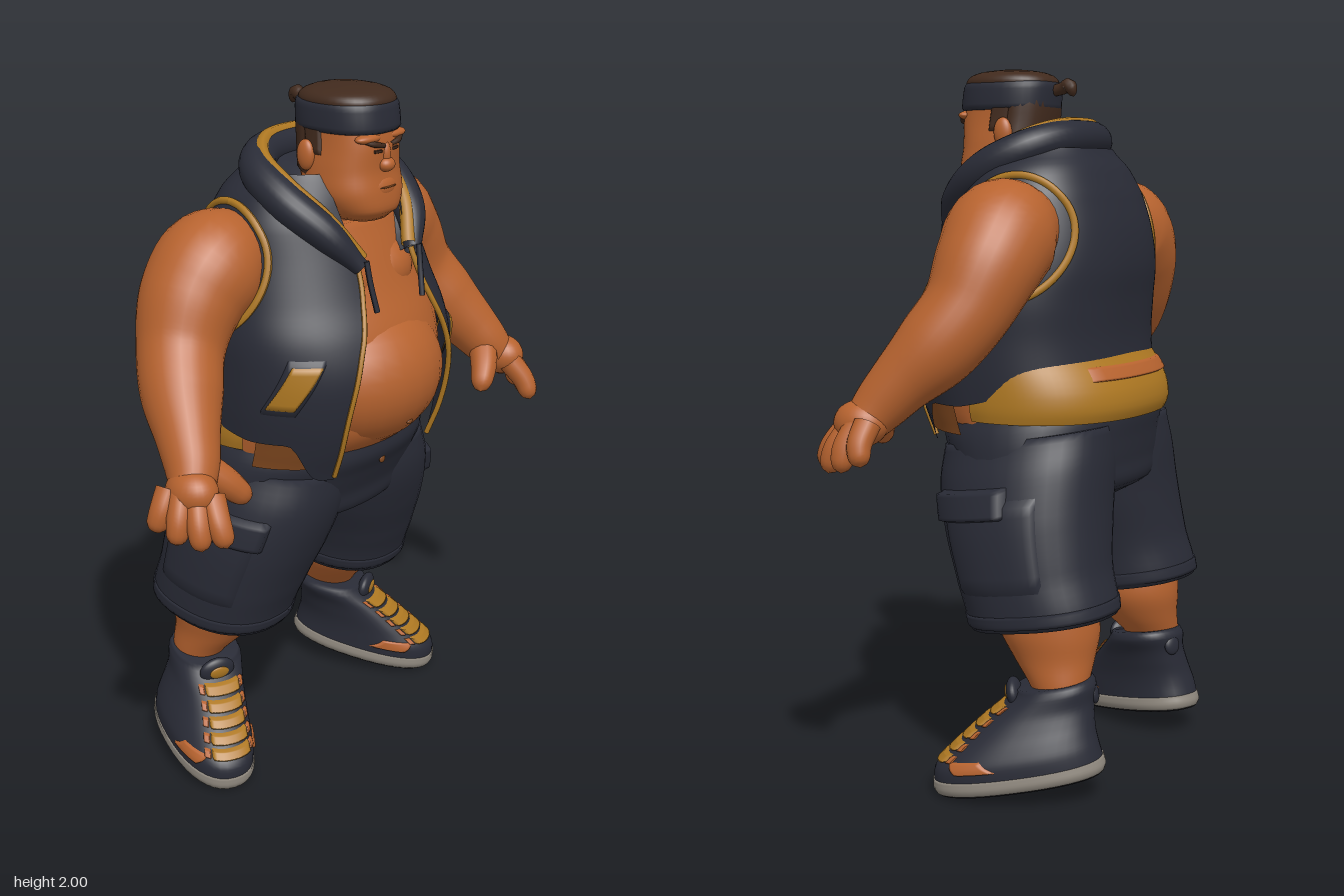
import * as THREE from 'three';

const V = (x, y, z) => new THREE.Vector3(x, y, z);
const lerp = THREE.MathUtils.lerp, step = THREE.MathUtils.smoothstep;
const mat = (name, color, side = THREE.FrontSide) => new THREE.MeshStandardMaterial({ name, color, side });

// Smooth surface from f(u, v); du x dv points outward
function grid(f, nu, nv, wrap = false) {
  const pos = [], idx = [], w = wrap ? nu : nu + 1;
  for (let j = 0; j <= nv; j++) for (let i = 0; i < w; i++) pos.push(...f(i / nu, j / nv, i, j).toArray());
  for (let j = 0; j < nv; j++) for (let i = 0; i < nu; i++) {
    const a = j * w + i, b = j * w + (i + 1) % w;
    idx.push(a, b, b + w, a, b + w, a + w);
  }
  const g = new THREE.BufferGeometry();
  g.setAttribute('position', new THREE.Float32BufferAttribute(pos, 3));
  g.setIndex(idx);
  g.computeVertexNormals();
  return g;
}

// Interpolates rows that start with a height
function rowAt(rows, y) {
  let i = 0;
  while (i < rows.length - 2 && y > rows[i + 1][0]) i++;
  const k = THREE.MathUtils.clamp((y - rows[i][0]) / (rows[i + 1][0] - rows[i][0]), 0, 1);
  const p = [i - 1, i, i + 1, i + 2].map(n => rows[THREE.MathUtils.clamp(n, 0, rows.length - 1)]);
  return rows[0].map((_, c) => {
    const [a, b, d, e] = p.map(r => r[c]);
    return b + 0.5 * k * (d - a + k * (2 * a - 5 * b + 4 * d - e + k * (3 * (b - d) + e - a)));
  });
}

// Stacked rings [y, cx, cz, rx, rz]; angle 0 is the front, PI/2 is +x; squareness for front and back
const rings = (rows, nFront = 2, nBack = nFront, tilt = 0) => (a, y, off = 0) => {
  const [, cx, cz, rx, rz] = rowAt(rows, y), s = Math.sin(a), c = Math.cos(a), e = 2 / (c > 0 ? nFront : nBack);
  const z = (rz + off) * Math.sign(c) * Math.abs(c) ** e;
  return V(cx + (rx + off) * Math.sign(s) * Math.abs(s) ** e, y + tilt * z, cz + z);
};
// Closed loft with capped ends
const loft = (S, y0, y1, nv = 24, off = 0) => grid((u, v, i, j) => {
  const y = lerp(y0, y1, THREE.MathUtils.clamp((j - 1) / nv, 0, 1));
  if (j === 0 || j === nv + 2) return S(0, y, off).add(S(Math.PI, y, off)).multiplyScalar(0.5);
  return S(u * Math.PI * 2, y, off);
}, 40, nv + 2, true);
// Thin raised patch lying on a ring surface, optionally slanted
const pad = (S, a0, a1, y0, y1, off, slant = 0) => grid((u, v, i, j) =>
  S(lerp(a0, a1, u) + slant * (v - 0.5), lerp(y0, y1, v), i === 0 || i === 14 || j === 0 || j === 10 ? -0.004 : off), 14, 10);

// Tapered tube through [x, y, z, r]
function limb(pts, nv = 24, round = false, nu = 20) {
  const c = new THREE.CatmullRomCurve3(pts.map(p => V(p[0], p[1], p[2])));
  const f = c.computeFrenetFrames(nv), rad = pts.map((p, i) => [i, p[3]]);
  return grid((u, v, i, j) => {
    let r = rowAt(rad, c.getUtoTmapping(v) * (pts.length - 1))[1];
    if (round && v > 0.75) r *= Math.sqrt(Math.max(0, 1 - ((v - 0.75) / 0.25) ** 2));
    const a = u * Math.PI * 2;
    return c.getPointAt(v).addScaledVector(f.normals[j], r * Math.cos(a)).addScaledVector(f.binormals[j], r * Math.sin(a));
  }, nu, nv, true);
}
const ball = (x, y, z, rx, ry, rz) => new THREE.SphereGeometry(1, 28, 20).scale(rx, ry, rz).translate(x, y, z);
const tube = (pts, r, closed = false, n = 60) => new THREE.TubeGeometry(new THREE.CatmullRomCurve3(pts, closed), n, r, 8, closed);
function mirrored(geo) {
  const g = geo.clone().scale(-1, 1, 1), a = g.index.array;
  for (let i = 0; i < a.length; i += 3) [a[i], a[i + 1]] = [a[i + 1], a[i]];
  g.computeVertexNormals();
  return g;
}

export function createModel() {
  const root = new THREE.Group();
  root.name = 'stockyMan';
  const skin = mat('skin', 0xb7632f), cloth = mat('charcoalCloth', 0x292b36, THREE.DoubleSide);
  const gold = mat('goldLining', 0xae7822, THREE.DoubleSide), hair = mat('brownHair', 0x412a1d);
  const rubber = mat('greyRubber', 0x8f887e), tread = mat('blackTread', 0x17171c), brown = mat('darkBrown', 0x80481f);
  const add = (name, g, m) => {
    const mesh = new THREE.Mesh(g, m);
    mesh.name = name;
    root.add(mesh);
  };
  const pair = (name, g, m) => {
    add(name + 'Left', g, m);
    add(name + 'Right', mirrored(g), m);
  };

  // Torso: [y, half width, front z, back z]
  const girth = [[0.93, 0.37, 0.28, -0.3], [1.05, 0.375, 0.33, -0.3], [1.15, 0.383, 0.355, -0.288], [1.25, 0.385, 0.36, -0.28],
    [1.35, 0.382, 0.335, -0.285], [1.45, 0.36, 0.29, -0.295], [1.55, 0.335, 0.25, -0.285], [1.65, 0.31, 0.21, -0.255],
    [1.72, 0.27, 0.18, -0.22], [1.78, 0.2, 0.15, -0.18]];
  const toRings = list => list.map(([y, w, f, b]) => [y, 0, (f + b) / 2, w, (f - b) / 2]);
  const vestRows = toRings(girth), vestS = rings(vestRows, 2, 2.45);
  const body = girth.map(([y, w, f, b]) => [y, w - 0.02, f - (y < 1 ? 0.11 : 0.04), b + 0.02]);
  add('torso', loft(rings(toRings(body), 2, 2.45), 0.95, 1.64, 36), skin);
  add('belly', ball(0, 1.2, 0.12, 0.28, 0.222, 0.25), skin);
  add('navel', ball(0, 1.085, 0.333, 0.012, 0.008, 0.006), brown);
  pair('chest', ball(0.085, 1.48, 0.1, 0.13, 0.11, 0.135), skin);
  add('neck', loft(rings([[1.5, 0, 0.03, 0.14, 0.14], [1.62, 0, 0.06, 0.1, 0.1], [1.76, 0, 0.08, 0.09, 0.08]]), 1.5, 1.76, 8), skin);

  // Open vest: front corners hang low, hem rises towards the back
  const gap = [[0.93, 0.21], [1.1, 0.222], [1.2, 0.215], [1.3, 0.19], [1.4, 0.15], [1.5, 0.122], [1.6, 0.12], [1.78, 0.13]];
  const edgeAngle = y => Math.asin(Math.min(0.95, rowAt(gap, y)[1] / rowAt(vestRows, y)[3]));
  add('vest', grid((u, v) => {
    const s = (1 - Math.cos(0.5 + (Math.PI * 2 - 1) * u)) / 2;
    const y = lerp(0.95 + 0.12 * step(s, 0.09, 0.22) + 0.13 * step(s, 0.35, 1), 1.775, v), a = edgeAngle(y);
    return vestS(lerp(a, Math.PI * 2 - a, u), y);
  }, 84, 40), cloth);
  const edge = [];
  for (let y = 0.96; y < 1.58; y += 0.04) edge.push(vestS(edgeAngle(y), y));
  pair('vestEdgeTrim', tube(edge, 0.008), gold);
  pair('vestPocketWelt', pad(vestS, 0.89, 1.22, 1.155, 1.325, 0.007, -0.3), cloth);
  pair('vestPocketLining', pad(vestS, 0.91, 1.18, 1.17, 1.312, 0.013, -0.28), gold);
  const hole = [];
  for (let i = 0; i < 24; i++) {
    const a = i / 24 * Math.PI * 2, y = 1.53 + 0.17 * Math.cos(a), z = -0.07 + 0.158 * Math.sin(a);
    const [, , cz, rx, rz] = rowAt(vestRows, y), n = z > cz ? 2 : 2.45;
    hole.push(V(rx * (1 - Math.abs((z - cz) / rz) ** n) ** (1 / n), y, z));
  }
  pair('armholeTrim', tube(hole, 0.011, true, 72), gold);

  // Undershirt showing below the vest, with a bare strip at the back
  const shirtS = rings([[1.03, 0, -0.045, 0.372, 0.285], [1.06, 0, -0.045, 0.378, 0.298], [1.13, 0, -0.04, 0.374, 0.288], [1.24, 0, 0, 0.36, 0.265]], 2, 2.3);
  add('undershirt', grid((u, v) => shirtS(lerp(1.3, Math.PI * 2 - 1.3, u), lerp(1.03, 1.24, v)), 48, 12), gold);
  add('bareBackStrip', pad(shirtS, 2.5, Math.PI * 2 - 2.5, 1.14, 1.182, 0.006), skin);
  pair('waistSide', pad(vestS, 0.68, 1.36, 0.99, 1.12, -0.005), brown);

  // Folded hood, its lining and cords
  const half = [[0.115, 1.54, 0.245, 0.024], [0.18, 1.63, 0.18, 0.045], [0.222, 1.71, 0.07, 0.054], [0.2, 1.768, -0.04, 0.052], [0.12, 1.798, -0.105, 0.05]];
  const hood = [...half, [0, 1.805, -0.125, 0.05], ...half.map(p => [-p[0], p[1], p[2], p[3]]).reverse()];
  add('hoodRoll', limb(hood, 64), cloth);
  add('hoodTrim', tube(hood.map(([x, y, z, r]) => V(x * 0.91, y + r * 0.74, z * 0.97)), 0.021), gold);
  const hoodCurve = new THREE.CatmullRomCurve3(hood.map(p => V(p[0], p[1], p[2])));
  add('hoodLining', grid((u, v) => {
    const p = hoodCurve.getPointAt(u);
    return V(p.x * (1 - 0.75 * v), p.y + 0.01 - 0.07 * v, lerp(p.z, 0.06, 0.8 * v));
  }, 48, 6), cloth);
  pair('drawstring', tube([V(0.115, 1.56, 0.265), V(0.11, 1.5, 0.275), V(0.1, 1.42, 0.292)], 0.008, false, 12), cloth);

  // Arms and hands
  pair('arm', limb([[0.25, 1.56, -0.07, 0.12], [0.355, 1.54, -0.07, 0.153], [0.44, 1.465, -0.07, 0.143], [0.51, 1.35, -0.045, 0.12],
    [0.57, 1.25, 0.015, 0.11], [0.622, 1.165, 0.085, 0.086], [0.655, 1.105, 0.13, 0.073], [0.7, 1.04, 0.17, 0.055]], 40, false, 28), skin);
  pair('palm', ball(0.693, 1.06, 0.165, 0.062, 0.062, 0.076), skin);
  pair('thumb', limb([[0.63, 1.1, 0.14, 0.045], [0.58, 1.05, 0.18, 0.04], [0.525, 0.99, 0.208, 0.03]], 16, true, 14), skin);
  [[0.672, 1.05, 0.215, 0.692, 0.935, 0.285], [0.7, 1.05, 0.19, 0.738, 0.928, 0.24],
    [0.722, 1.055, 0.158, 0.768, 0.938, 0.178], [0.73, 1.065, 0.12, 0.778, 0.96, 0.11]].forEach(([a, b, c, d, e, f], i) =>
    pair('finger' + (i + 1), limb([[a, b, c, 0.036], [(a + d) / 2 + 0.01, (b + e) / 2, (c + f) / 2 + 0.008, 0.033], [d, e, f, 0.027]], 16, true, 14), skin));

  // Head and face
  const headS = rings([[1.645, 0, 0.15, 0.065, 0.068], [1.67, 0, 0.138, 0.104, 0.107], [1.72, 0, 0.122, 0.13, 0.124], [1.78, 0, 0.112, 0.128, 0.125],
    [1.85, 0, 0.107, 0.118, 0.132], [1.91, 0, 0.1, 0.113, 0.13], [1.96, 0, 0.098, 0.108, 0.125]], 2.5);
  add('head', loft(headS, 1.645, 1.96, 28), skin);
  add('muzzle', ball(0, 1.735, 0.19, 0.08, 0.05, 0.058), skin);
  add('mouth', ball(0, 1.738, 0.245, 0.034, 0.003, 0.004), brown);
  add('nose', ball(0, 1.798, 0.236, 0.027, 0.02, 0.023), skin);
  add('noseBridge', ball(0, 1.825, 0.232, 0.015, 0.035, 0.016), skin);
  pair('browRidge', ball(0.05, 1.872, 0.215, 0.05, 0.014, 0.024), skin);
  pair('eyebrow', limb([[0.014, 1.85, 0.24, 0.006], [0.05, 1.858, 0.238, 0.008], [0.09, 1.872, 0.212, 0.004]], 12, false, 8), hair);
  pair('eye', pad(headS, 0.12, 0.34, 1.833, 1.842, 0.004), hair);
  pair('ear', ball(0.126, 1.82, 0.062, 0.018, 0.042, 0.028), skin);

  // Hair, headband and knot
  add('hairBack', pad(headS, 1.75, Math.PI * 2 - 1.75, 1.76, 1.95, 0.008), hair);
  pair('sideburn', pad(headS, 1.55, 1.9, 1.82, 1.92, 0.006), hair);
  add('hairTop', loft(rings([[1.93, 0, 0.1, 0.113, 0.131], [1.965, 0, 0.1, 0.117, 0.133], [1.982, 0, 0.1, 0.106, 0.118],
    [1.994, 0, 0.1, 0.075, 0.085], [2.0, 0, 0.1, 0.025, 0.03]], 2.3), 1.93, 2.0, 16), hair);
  add('headband', loft(rings([[1.884, 0, 0.104, 0.117, 0.137], [1.89, 0, 0.104, 0.124, 0.142], [1.955, 0, 0.099, 0.121, 0.139],
    [1.966, 0, 0.098, 0.11, 0.128]], 2.4), 1.884, 1.966, 10), cloth);
  add('hairKnot', limb([[0, 1.935, -0.02, 0.016], [0, 1.945, -0.065, 0.018], [0.005, 1.952, -0.085, 0.02], [0.005, 1.92, -0.1, 0.014]], 16, true, 12), hair);

  // Shorts with cargo pockets
  add('shortsSeat', loft(rings([[0.76, 0, -0.06, 0.1, 0.14], [0.81, 0, -0.06, 0.33, 0.235], [0.88, 0, -0.055, 0.383, 0.252],
    [0.95, 0, -0.045, 0.382, 0.27], [1.0, 0, -0.037, 0.37, 0.285], [1.05, 0, -0.037, 0.35, 0.283]], 2.2, 2.2, -0.1), 0.76, 1.05, 22), cloth);
  add('waistButton', ball(0, 0.945, 0.238, 0.012, 0.012, 0.006), brown);
  const legS = rings([[0.475, 0.268, -0.15, 0.18, 0.203], [0.49, 0.268, -0.147, 0.187, 0.21], [0.6, 0.255, -0.112, 0.198, 0.215],
    [0.75, 0.222, -0.075, 0.217, 0.235], [0.88, 0.192, -0.055, 0.215, 0.25], [1.0, 0.17, -0.05, 0.19, 0.245]], 2.25, 2.25, -0.15);
  pair('shortsLeg', loft(legS, 0.475, 0.98, 24), cloth);
  pair('hemBand', loft(legS, 0.485, 0.52, 4, 0.003), cloth);
  pair('cargoPocket', pad(legS, 0.85, 2.1, 0.57, 0.83, 0.01), cloth);
  pair('pocketFlap', pad(legS, 0.75, 1.75, 0.77, 0.86, 0.022), cloth);

  // Calves
  pair('calf', loft(rings([[0.24, 0.312, -0.22, 0.06, 0.065], [0.3, 0.308, -0.217, 0.076, 0.08], [0.38, 0.28, -0.185, 0.105, 0.118],
    [0.45, 0.268, -0.165, 0.126, 0.145], [0.56, 0.27, -0.16, 0.12, 0.14]]), 0.24, 0.56, 20), skin);

  // High-top shoes, toes turned outward and heels slightly raised
  const pose = new THREE.Matrix4().makeRotationFromEuler(new THREE.Euler(0.17, 0.4, 0, 'YXZ')).setPosition(0.383, 0.041, -0.136);
  const shoe = (name, g, m) => pair(name, g.applyMatrix4(pose), m);
  const soleS = rings([[0, 0, 0, 0.112, 0.235], [0.02, 0, 0, 0.121, 0.243], [0.045, 0, 0, 0.119, 0.24]], 2.3);
  const upperS = rings([[0.035, 0, 0, 0.117, 0.238], [0.08, -0.002, -0.003, 0.116, 0.23], [0.115, -0.01, -0.024, 0.11, 0.206],
    [0.15, -0.022, -0.052, 0.104, 0.18], [0.19, -0.036, -0.086, 0.1, 0.15], [0.235, -0.05, -0.13, 0.104, 0.118], [0.255, -0.05, -0.133, 0.095, 0.106]], 2.3);
  shoe('shoeTread', loft(soleS, 0, 0.005, 1, -0.004), tread);
  shoe('shoeSole', loft(soleS, 0.005, 0.045, 6), rubber);
  shoe('shoeUpper', loft(upperS, 0.035, 0.255, 24), cloth);
  shoe('shoeTongue', ball(-0.042, 0.24, -0.018, 0.055, 0.042, 0.022), cloth);
  shoe('tongueTrim', ball(-0.042, 0.243, 0.001, 0.03, 0.02, 0.007), gold);
  for (let i = 0; i < 5; i++) {
    const y = 0.095 + i * 0.026;
    shoe('lace' + (i + 1), pad(upperS, -0.5, 0.5, y, y + 0.019, 0.011), gold);
    for (const s of [-1, 1]) shoe('eyelet' + (i + 1), pad(upperS, s * 0.58 - 0.08, s * 0.58 + 0.08, y, y + 0.016, 0.007), skin);
  }
  shoe('shoeOuterPanel', pad(upperS, 0.7, 1.3, 0.065, 0.1, 0.005, -0.3), skin);
  shoe('shoeInnerPanel', pad(upperS, -1.3, -0.7, 0.065, 0.1, 0.005, 0.3), skin);
  shoe('heelTab', ball(-0.045, 0.205, -0.238, 0.028, 0.03, 0.013), cloth);
  return root;
}
